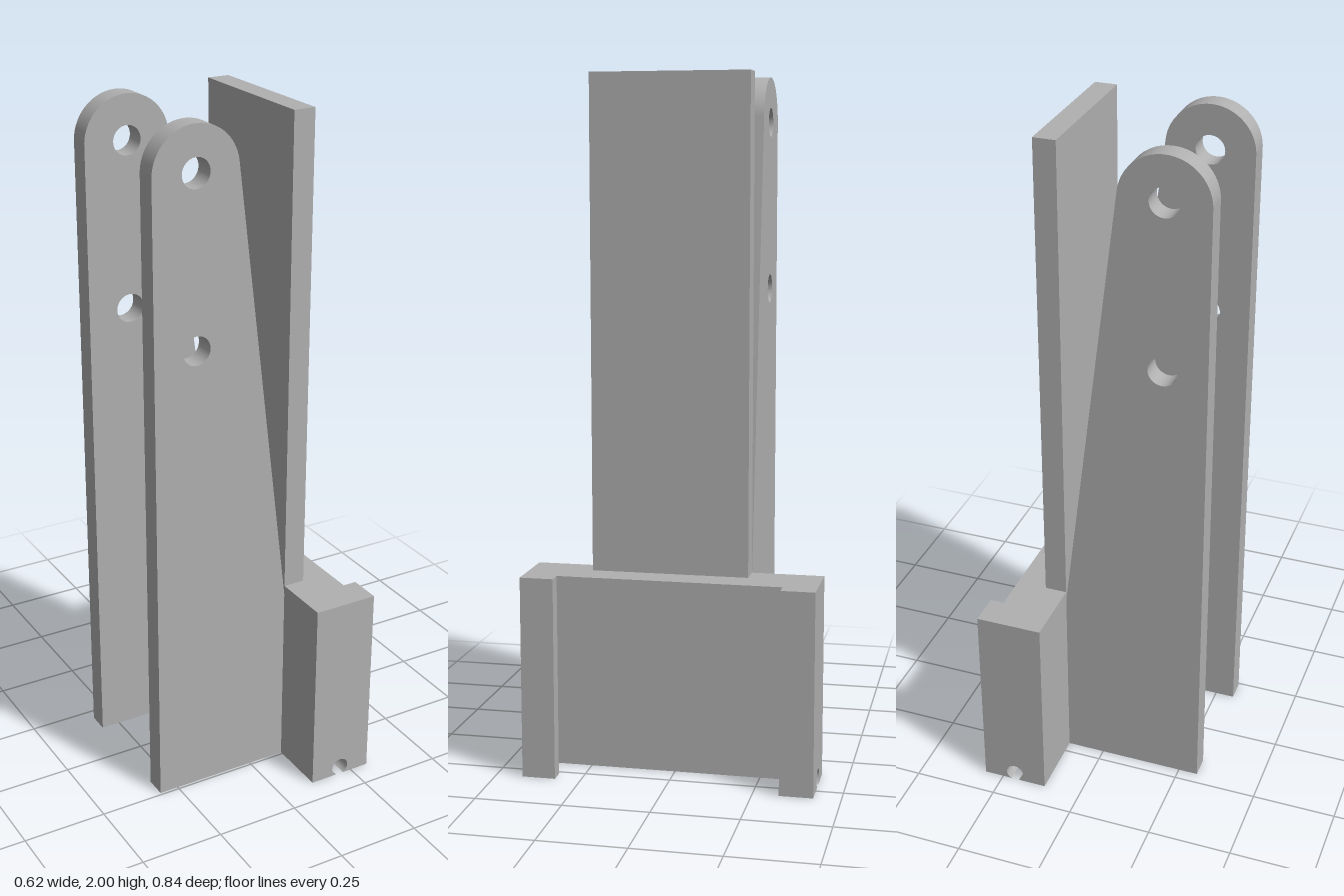
import * as THREE from 'three';

const grey = new THREE.MeshStandardMaterial({ color: 0xb0b0b0 });
grey.name = 'plain grey';

export function createModel() {
  const model = new THREE.Group();
  model.name = 'bracket';

  const add = (name, geometry) => {
    const mesh = new THREE.Mesh(geometry, grey);
    mesh.name = name;
    model.add(mesh);
  };
  // box given by its limits on each axis
  const box = (name, x0, x1, y0, y1, z0, z1) =>
    add(name, new THREE.BoxGeometry(x1 - x0, y1 - y0, z1 - z0)
      .translate((x0 + x1) / 2, (y0 + y1) / 2, (z0 + z1) / 2));
  // front profile extruded between two z limits
  const slab = (name, shape, z0, z1) =>
    add(name, new THREE.ExtrudeGeometry(shape, { depth: z1 - z0, bevelEnabled: false, curveSegments: 32 })
      .translate(0, 0, z0));

  const back = 0.113, wall = 0.178, lip = 0.267, front = 0.308;
  const top = 0.588, ceiling = 0.547;
  const half = 0.422, pocket = 0.355, mouth = 0.325;

  // tapered arm with a rounded top and two pin holes
  const cx = -0.179, cy = 1.871, r = 0.129, tilt = 0.123;
  const arm = new THREE.Shape();
  arm.moveTo(-0.308, 0);
  arm.lineTo(back, 0);
  arm.lineTo(back, 0.56);
  arm.lineTo(cx + r * Math.cos(tilt), cy + r * Math.sin(tilt));
  arm.absarc(cx, cy, r, tilt, Math.PI, false);
  arm.closePath();
  for (const y of [cy, 1.385]) {
    arm.holes.push(new THREE.Path().absarc(cx, y, 0.042, 0, Math.PI * 2, true));
  }
  slab('rearArm', arm, -0.213, -0.148);
  slab('frontArm', arm, 0.178, 0.242);

  // upright plate above the holder
  box('uprightPlate', back, wall, top, 2, -0.213, 0.242);

  // holder: back wall and roof over the pocket
  box('holderWall', back, wall, 0, top, -pocket, pocket);
  box('holderRoof', wall, lip, ceiling, top, -pocket, pocket);

  // end posts, with a round notch open at the bottom
  const nx = 0.21, ny = 0.024, nr = 0.027, a = Math.asin(ny / nr);
  const post = new THREE.Shape();
  post.moveTo(back, 0);
  post.lineTo(nx - nr * Math.cos(a), 0);
  post.absarc(nx, ny, nr, Math.PI + a, -a, true);
  post.lineTo(front, 0);
  post.lineTo(front, top);
  post.lineTo(back, top);
  post.closePath();
  slab('rearPost', post, -half, -pocket);
  slab('frontPost', post, pocket, half);

  // retaining lips that close the slide grooves
  box('rearLip', lip, front, 0, top, -pocket, -mouth);
  box('frontLip', lip, front, 0, top, mouth, pocket);

  return model;
}
